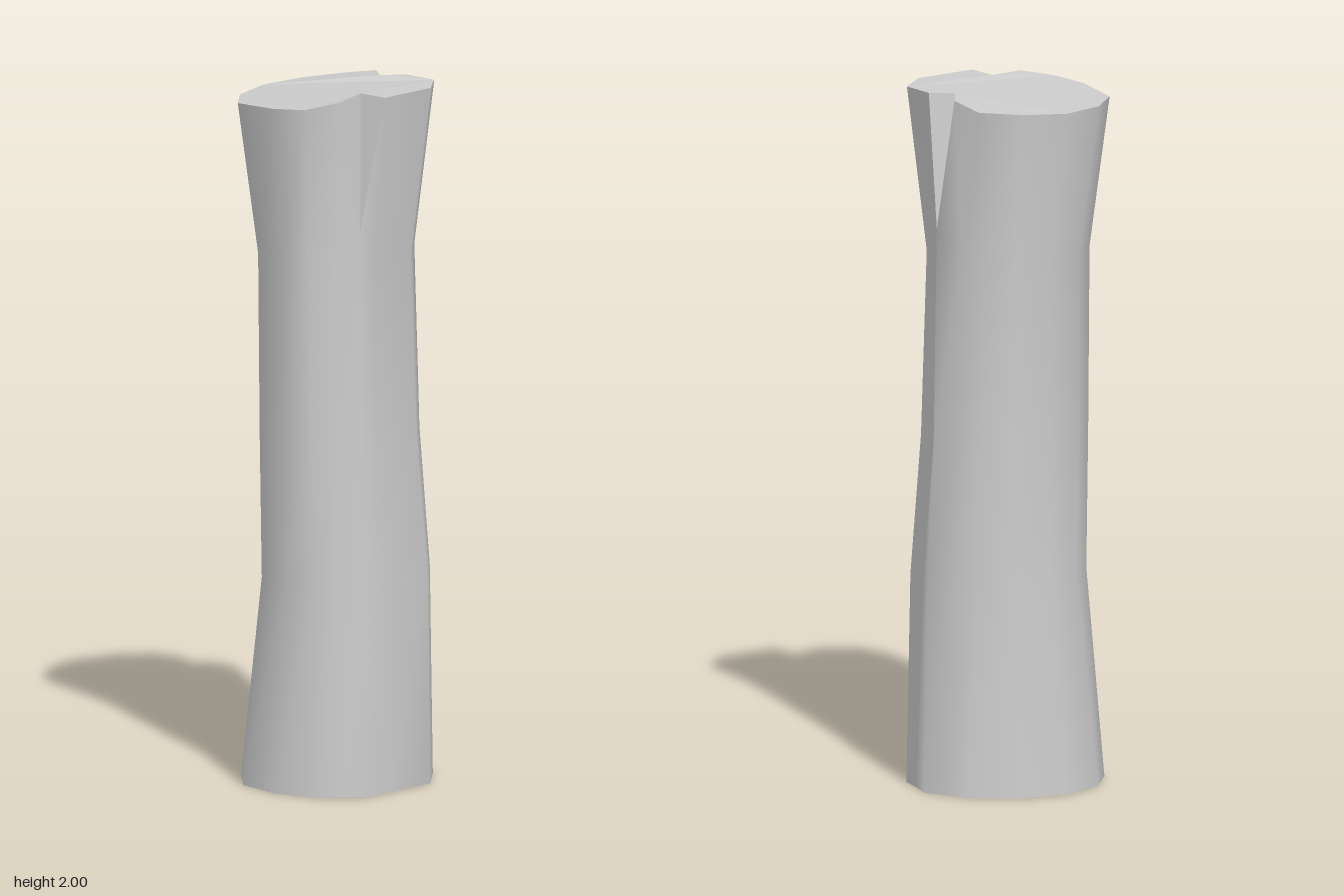
import * as THREE from 'three';

// Outline columns [x, z], running from the left side round by the front
const topRing = [
  [0.273, 0.004], [0.175, 0.172], [0.141, 0.235], [0.055, 0.24], [-0.036, 0.282],
  [-0.138, 0.242], [-0.256, 0.137], [-0.275, 0.004], [-0.236, -0.137], [-0.138, -0.233],
  [-0.025, -0.283], [0.068, -0.237], [0.16, -0.255], [0.17, -0.175], [0.26, -0.115],
];
const bottomRing = [
  [0.273, 0.01], [0.19, 0.155], [0.138, 0.242], [0.07, 0.265], [0.005, 0.282],
  [-0.13, 0.242], [-0.24, 0.137], [-0.273, 0], [-0.236, -0.14], [-0.13, -0.24],
  [0.01, -0.285], [0.08, -0.273], [0.152, -0.26], [0.2, -0.2], [0.25, -0.145],
];
// Columns where the rim is split: the column ends at the crack's lower tip
const cracks = { 2: [0.095, 0.122], 12: [0.097, -0.155] };

// Height, blend from bottom to top outline, and scale on +x, -x, +z, -z
const levels = [
  { y: 0, t: 0, s: [1, 1, 1, 1] },
  { y: 0.6, t: 0.3, s: [0.97, 0.77, 0.94, 0.92] },
  { y: 1.0, t: 0.6, s: [0.85, 0.78, 0.93, 0.9] },
  { y: 1.53, t: 1, s: [0.79, 0.78, 0.915, 0.88] },
  { y: 2, t: 1, s: [1, 1, 1, 1] },
];

const rimHeight = (x) => (x < 0 ? 1.98 + 0.07 * x : Math.min(2, 1.98 + 0.25 * x));
const rimPoint = ([x, z]) => new THREE.Vector3(x, rimHeight(x), z);

function buildMesh(name, points, index, material) {
  let geometry = new THREE.BufferGeometry().setFromPoints(points);
  geometry.setIndex(index);
  if (name !== 'trunkWall') geometry = geometry.toNonIndexed();
  geometry.computeVertexNormals();
  const mesh = new THREE.Mesh(geometry, material);
  mesh.name = name;
  return mesh;
}

export function createModel() {
  const group = new THREE.Group();
  group.name = 'trunk';
  const material = new THREE.MeshStandardMaterial({ color: 0xcccccc, side: THREE.DoubleSide });
  const n = topRing.length;
  const last = levels.length - 1;

  // Stacked outlines of the trunk
  const points = [];
  levels.forEach(({ y, t, s }, j) => {
    topRing.forEach((top, i) => {
      const x = THREE.MathUtils.lerp(bottomRing[i][0], top[0], t);
      const z = THREE.MathUtils.lerp(bottomRing[i][1], top[1], t);
      let h = y;
      if (j === last) h = rimHeight(x);
      else if (j === last - 1 && cracks[i]) h = 1.62;
      points.push(new THREE.Vector3(x * (x > 0 ? s[0] : s[1]), h, z * (z > 0 ? s[2] : s[3])));
    });
  });

  // Smooth open-bottomed wall, leaving a triangular gap above each crack tip
  const index = [];
  for (let j = 0; j < last; j++) {
    for (let i = 0; i < n; i++) {
      const k = (i + 1) % n;
      const a = j * n + i, b = j * n + k, c = a + n, d = b + n;
      if (j === last - 1 && cracks[i]) index.push(a, d, b);
      else if (j === last - 1 && cracks[k]) index.push(a, c, b);
      else index.push(a, c, b, c, d, b);
    }
  }
  group.add(buildMesh('trunkWall', points, index, material));

  // Flat cut top, dented inwards at the cracks
  const rim = topRing.map((p, i) => rimPoint(cracks[i] || p)).reverse();
  const flat = rim.map((p) => new THREE.Vector2(p.x, -p.z));
  const capIndex = THREE.ShapeUtils.triangulateShape(flat, []).flat();
  group.add(buildMesh('cutTop', rim, capIndex, material));

  // Two sloping faces inside each crack
  for (const [key, inner] of Object.entries(cracks)) {
    const i = Number(key);
    const corners = [
      rimPoint(topRing[i - 1]), rimPoint(inner), rimPoint(topRing[i + 1]),
      points[(last - 1) * n + i].clone(),
    ];
    const name = inner[1] > 0 ? 'frontCrack' : 'backCrack';
    group.add(buildMesh(name, corners, [0, 1, 3, 1, 2, 3], material));
  }
  return group;
}
